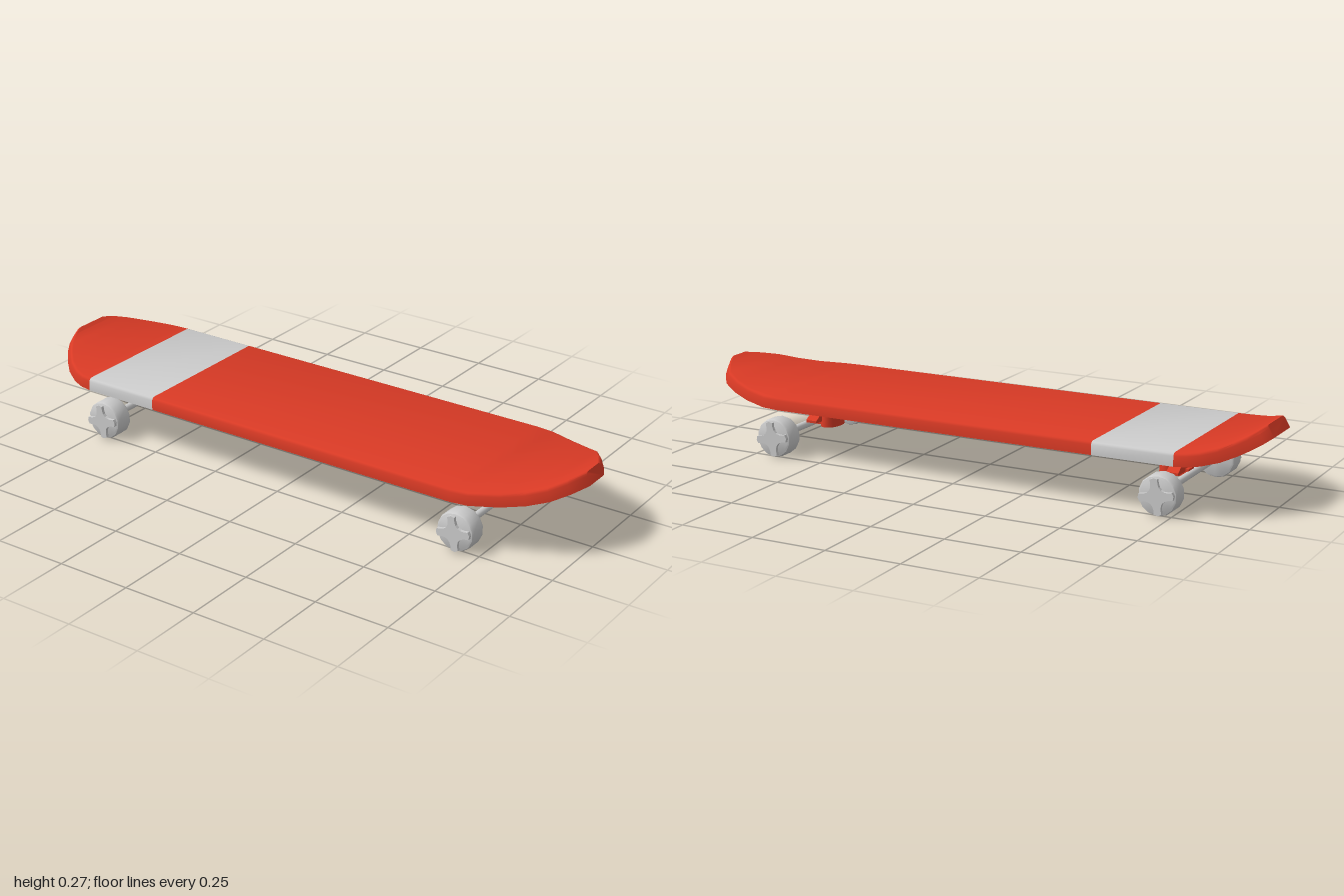
import * as THREE from 'three';
import { toCreasedNormals } from 'three/addons/utils/BufferGeometryUtils.js';

const red = new THREE.MeshStandardMaterial({ color: 0xd93a25 });
const grey = new THREE.MeshStandardMaterial({ color: 0xcccccc });

// Deck stations: x, half width, underside height
const stations = [
  [-1, 0.07, 0.236], [-0.985, 0.11, 0.226], [-0.96, 0.15, 0.212], [-0.93, 0.185, 0.198],
  [-0.89, 0.222, 0.183], [-0.84, 0.252, 0.172], [-0.8, 0.265, 0.167], [-0.76, 0.27, 0.165],
  [-0.49, 0.27, 0.165],
  [0.65, 0.27, 0.165], [0.71, 0.263, 0.166], [0.8, 0.228, 0.172], [0.87, 0.195, 0.183],
  [0.93, 0.158, 0.199], [0.97, 0.105, 0.213], [1, 0.045, 0.225],
];
const THICK = 0.043;

// Cross-section of the deck at one station, tilted to follow the kick
function deckRing(i) {
  const [x, w, y] = stations[i];
  const a = stations[Math.max(i - 1, 0)], b = stations[Math.min(i + 1, stations.length - 1)];
  const flat = y === 0.165;
  const slope = flat ? 0 : Math.atan2(b[2] - a[2], b[0] - a[0]);
  const section = [[-w, 0], [-w, 0.75], [-w + 0.004, 0.92], [-w + 0.012, 1],
    [w - 0.012, 1], [w - 0.004, 0.92], [w, 0.75], [w, 0]];
  return section.map(([z, t]) =>
    [x - Math.sin(slope) * t * THICK, y + Math.cos(slope) * t * THICK, z]);
}

// Skin the deck between two stations; the outer ends are closed
function deckPart(name, from, to, material) {
  const pos = [];
  const tri = (...pts) => pts.forEach((p) => pos.push(...p));
  for (let i = from; i < to; i++) {
    const r = deckRing(i), s = deckRing(i + 1), n = r.length;
    for (let j = 0; j < n; j++) {
      const k = (j + 1) % n;
      tri(s[j], r[j], r[k]);
      tri(s[j], r[k], s[k]);
    }
  }
  const first = deckRing(from), last = deckRing(to);
  for (let j = 1; j < first.length - 1; j++) {
    if (from === 0) tri(first[0], first[j + 1], first[j]);
    if (to === stations.length - 1) tri(last[0], last[j], last[j + 1]);
  }
  const geo = new THREE.BufferGeometry();
  geo.setAttribute('position', new THREE.Float32BufferAttribute(pos, 3));
  return mesh(name, toCreasedNormals(geo, 0.7), material);
}

function mesh(name, geometry, material) {
  const m = new THREE.Mesh(geometry, material);
  m.name = name;
  return m;
}

// Wheel with its axis along z, outer face towards +z
function makeWheel() {
  const wheel = new THREE.Group();
  const profile = [[0, -0.034], [0.056, -0.034], [0.062, -0.031], [0.065, -0.024],
    [0.065, 0.024], [0.062, 0.031], [0.056, 0.034], [0, 0.034]]
    .map(([r, h]) => new THREE.Vector2(r, h));
  const tyre = new THREE.LatheGeometry(profile, 14).rotateX(Math.PI / 2);
  wheel.add(mesh('tyre', toCreasedNormals(tyre, 0.7), grey));

  // Four-armed hub cover with curved inner corners
  const cross = new THREE.Shape();
  for (let i = 0; i < 4; i++) {
    const a = i * Math.PI / 2 + 0.15;
    const at = (r, t) => [Math.cos(a + t) * r, Math.sin(a + t) * r];
    if (i === 0) cross.moveTo(...at(0.056, -0.22));
    cross.lineTo(...at(0.059, 0));
    cross.lineTo(...at(0.056, 0.22));
    cross.quadraticCurveTo(...at(0.009, Math.PI / 4), ...at(0.056, Math.PI / 2 - 0.22));
  }
  const hub = new THREE.ExtrudeGeometry(cross, { depth: 0.012, bevelEnabled: false, curveSegments: 6 });
  hub.translate(0, 0, 0.033);
  wheel.add(mesh('hubCover', hub, grey));
  return wheel;
}

// Truck at the post position, with the axle set towards the deck end
function makeTruck(name, postX, dir) {
  const truck = new THREE.Group();
  truck.name = name;
  const axleX = 0.049 * dir;

  const post = mesh('post', toCreasedNormals(new THREE.CylinderGeometry(0.044, 0.053, 0.108, 16), 0.7), red);
  post.scale.x = 0.64;
  post.position.y = 0.114;
  truck.add(post);

  // Flared hanger joining the post to the axle
  const shape = new THREE.Shape();
  [[-0.08, 0.078], [0.08, 0.078], [0.08, 0.086], [0.05, 0.104], [-0.05, 0.104], [-0.08, 0.086]]
    .forEach(([z, y], i) => (i ? shape.lineTo(z, y) : shape.moveTo(z, y)));
  const hangerGeo = new THREE.ExtrudeGeometry(shape, { depth: 0.04, bevelEnabled: false });
  const hanger = mesh('hanger', hangerGeo.translate(0, 0, -0.02).rotateY(Math.PI / 2), red);
  hanger.position.x = axleX * 0.55;
  truck.add(hanger);
  const arm = mesh('hangerArm', new THREE.BoxGeometry(0.055, 0.026, 0.045), red);
  arm.position.set(axleX * 0.6, 0.073, 0);
  truck.add(arm);

  const axle = mesh('axle', new THREE.CylinderGeometry(0.012, 0.012, 0.42, 12).rotateX(Math.PI / 2), grey);
  axle.position.set(axleX, 0.067, 0);
  truck.add(axle);

  for (const side of [1, -1]) {
    const wheel = makeWheel();
    wheel.name = side > 0 ? 'frontWheel' : 'backWheel';
    wheel.position.set(axleX, 0.065, side * 0.233);
    if (side < 0) wheel.rotation.y = Math.PI;
    truck.add(wheel);
  }
  truck.position.x = postX;
  return truck;
}

export function createModel() {
  const board = new THREE.Group();
  board.name = 'skateboard';
  board.add(
    deckPart('deckTail', 0, 7, red),
    deckPart('deckStripe', 7, 8, grey),
    deckPart('deckMain', 8, stations.length - 1, red),
    makeTruck('rightTruck', -0.64, -1.4),
    makeTruck('leftTruck', 0.607, 1.3),
  );
  return board;
}
